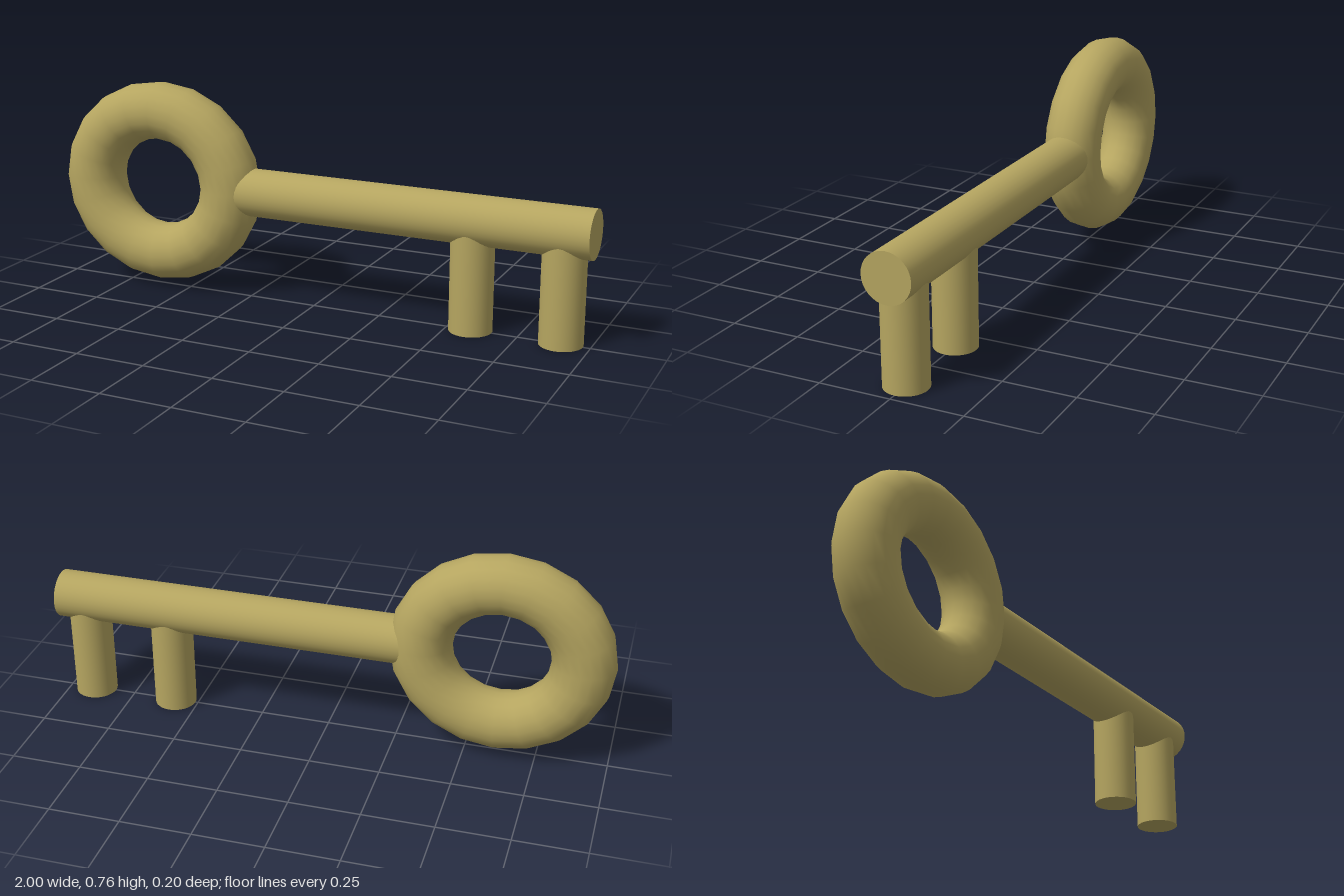
import * as THREE from 'three';

export function createModel() {
  const model = new THREE.Group();
  model.name = 'key';
  const brass = new THREE.MeshStandardMaterial({ color: 0xb5a560 });
  const axisY = 0.389;

  function add(name, geometry, x, y) {
    const mesh = new THREE.Mesh(geometry, brass);
    mesh.name = name;
    mesh.position.set(x, y, 0);
    model.add(mesh);
    return mesh;
  }

  // Ring handle, slightly wider than tall
  const bow = add('bow', new THREE.TorusGeometry(0.2635, 0.1035, 20, 20), -0.609, 0.39);
  bow.scale.set(1.065, 1, 0.98);

  // Round shaft, its inner end sunk into the ring
  const start = -0.34, end = 1;
  const shaft = new THREE.CylinderGeometry(0.0855, 0.0855, end - start, 32);
  shaft.rotateZ(-Math.PI / 2);
  add('shaft', shaft, (start + end) / 2, axisY);

  // Two round teeth reaching from the shaft's axis to the ground
  [['innerTooth', 0.585], ['outerTooth', 0.9]].forEach(([name, x]) =>
    add(name, new THREE.CylinderGeometry(0.075, 0.075, axisY, 32), x, axisY / 2));

  return model;
}
